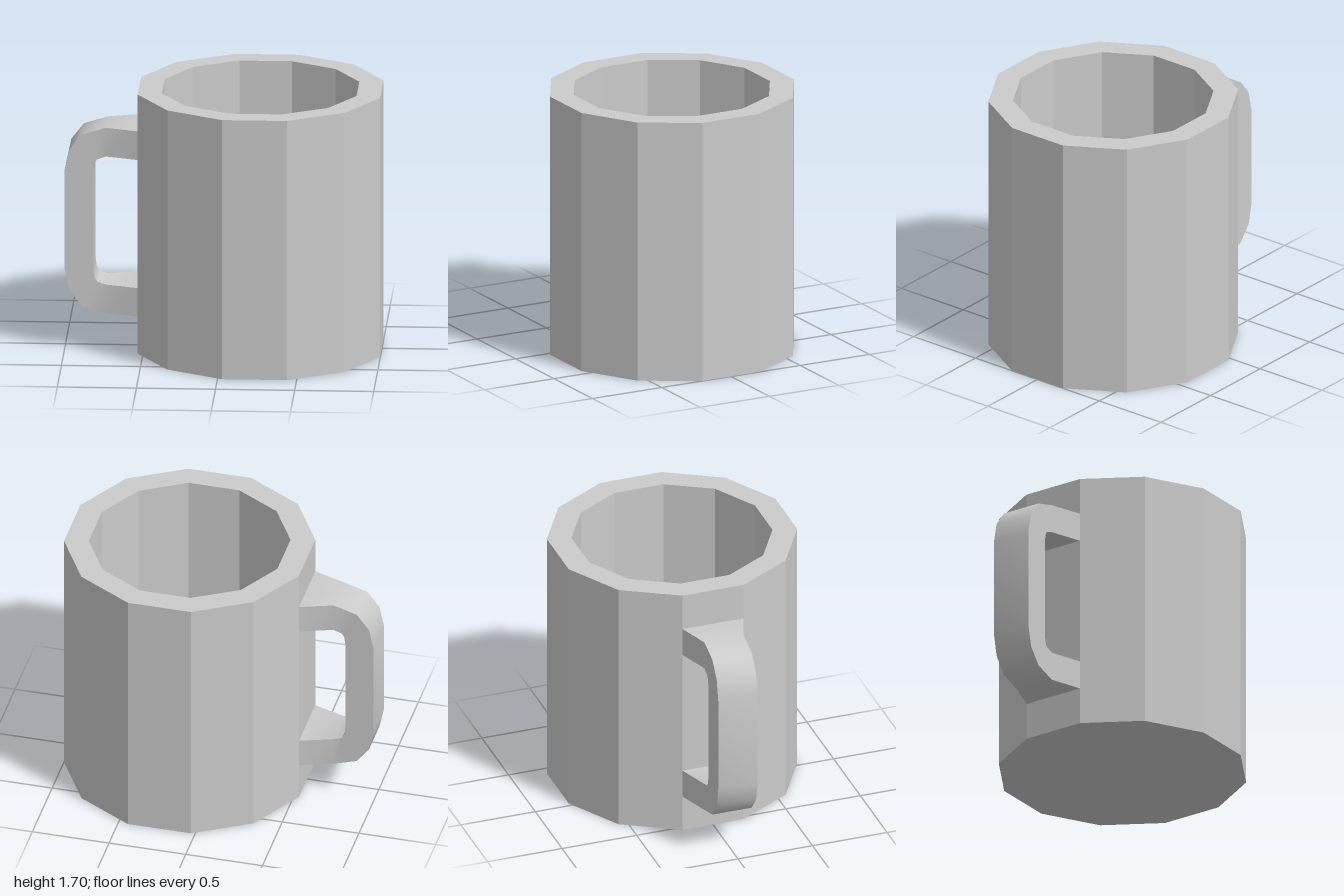
import * as THREE from 'three';
import { toCreasedNormals } from 'three/addons/utils/BufferGeometryUtils.js';

const SIDES = 12;
const CENTER_X = 0.233;
const HEIGHT = 1.7;
const MID_Y = 0.85; // height about which the handle is mirrored

// Twelve-sided cup: outer wall, rim, inner wall and floor in one profile
function createCup(material) {
  const k = 1 / Math.cos(Math.PI / SIDES); // apothem to corner radius
  const outer = 0.766 * k, inner = 0.615 * k, floor = 0.15;
  const profile = [
    [0, 0], [outer, 0], [outer, HEIGHT], [inner, HEIGHT], [inner, floor], [0, floor],
  ].map(([x, y]) => new THREE.Vector2(x, y));
  const cup = new THREE.Mesh(new THREE.LatheGeometry(profile, SIDES, Math.PI / SIDES), material);
  cup.position.x = CENTER_X;
  cup.name = 'cup';
  return cup;
}

// Handle: rectangular cross-sections swept along a rounded C, flared at the cup
function createHandle(material) {
  // outer x, outer y, inner x, inner y, half width
  const top = [
    [-0.533, 1.458, -0.533, 1.27, 0.204],
    [-0.74, 1.458, -0.74, 1.27, 0.132],
    [-0.89, 1.412, -0.795, 1.25, 0.132],
    [-0.97, 1.31, -0.81, 1.222, 0.132],
    [-1, 1.17, -0.817, 1.16, 0.132],
  ];
  const flip = (y) => 2 * MID_Y - y;
  const bottom = top.map(([ox, oy, ix, iy, w]) => [ox, flip(oy), ix, flip(iy), w]).reverse();
  const rings = [...top, ...bottom].map(([ox, oy, ix, iy, w]) => [
    [ox, oy, w], [ox, oy, -w], [ix, iy, -w], [ix, iy, w],
  ]);

  const positions = [];
  for (let i = 0; i < rings.length - 1; i++) {
    const a = rings[i], b = rings[i + 1];
    for (let k = 0; k < 4; k++) {
      const n = (k + 1) % 4;
      positions.push(...a[k], ...a[n], ...b[k], ...a[n], ...b[n], ...b[k]);
    }
  }
  const geometry = new THREE.BufferGeometry();
  geometry.setAttribute('position', new THREE.Float32BufferAttribute(positions, 3));
  const handle = new THREE.Mesh(toCreasedNormals(geometry, 0.7), material);
  handle.name = 'handle';
  return handle;
}

export function createModel() {
  const mug = new THREE.Group();
  mug.name = 'mug';
  mug.add(
    createCup(new THREE.MeshStandardMaterial({ color: 0xcccccc, flatShading: true })),
    createHandle(new THREE.MeshStandardMaterial({ color: 0xcccccc })),
  );
  return mug;
}
